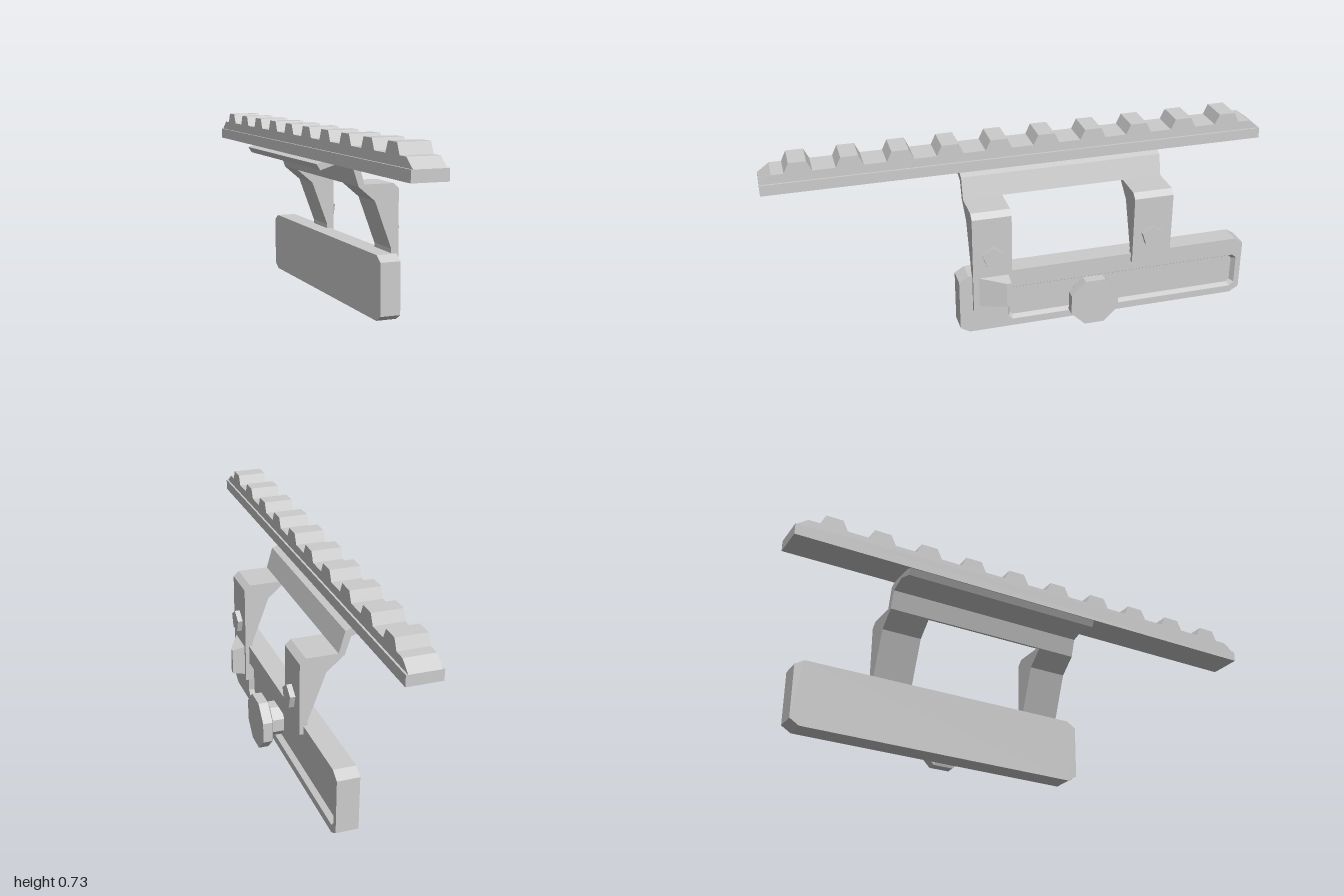
import * as THREE from 'three';

const material = new THREE.MeshStandardMaterial({ color: 0xcccccc, flatShading: true });

const outline = (points) => points.map(([x, y]) => new THREE.Vector2(x, y));

export function createModel() {
  const root = new THREE.Group();
  root.name = 'railMount';

  const add = (name, geometry) => {
    const mesh = new THREE.Mesh(geometry, material);
    mesh.name = name;
    root.add(mesh);
    return mesh;
  };

  // Front-facing (x, y) profile swept from z0 to z1
  const sweepZ = (points, z0, z1) =>
    new THREE.ExtrudeGeometry(new THREE.Shape(outline(points)), { depth: z1 - z0, bevelEnabled: false })
      .translate(0, 0, z0);

  // Side (z, y) profile swept from x0 to x1, with an optional hole
  const sweepX = (points, x0, x1, hole) => {
    const flip = (list) => outline(list.map(([z, y]) => [-z, y]));
    const shape = new THREE.Shape(flip(points));
    if (hole) shape.holes.push(new THREE.Path(flip(hole)));
    return new THREE.ExtrudeGeometry(shape, { depth: x1 - x0, bevelEnabled: false })
      .rotateY(Math.PI / 2).translate(x0, 0, 0);
  };

  // Rectangle with cut corners in the (z, y) plane
  const cutRect = (z0, z1, y0, y1, cz, cy) => [
    [z0 + cz, y0], [z1 - cz, y0], [z1, y0 + cy], [z1, y1 - cy],
    [z1 - cz, y1], [z0 + cz, y1], [z0, y1 - cy], [z0, y0 + cy],
  ];

  // Polygonal prism or frustum along x
  const lathed = (x0, x1, r0, r1, sides, turn, y, z) =>
    new THREE.CylinderGeometry(r1, r0, x1 - x0, sides).rotateY(turn)
      .rotateZ(-Math.PI / 2).translate((x0 + x1) / 2, y, z);

  // Rail: wide foot and toothed upper bar
  add('railFoot', sweepX([[-1, 0.613], [1, 0.613], [1, 0.655], [-1, 0.655]], -0.185, -0.052));
  const teeth = [[1, 0.655], [0.953, 0.69]];
  for (let i = 0; i < 10; i++) {
    const z = 0.855 - 0.19 * i;
    teeth.push([z + 0.052, 0.69], [z + 0.033, 0.73], [z - 0.033, 0.73], [z - 0.052, 0.69]);
  }
  teeth.push([-0.953, 0.69], [-1, 0.655]);
  add('railTeeth', sweepX(teeth, -0.178, -0.06));

  // Saddle under the rail
  add('saddle', sweepZ([
    [-0.197, 0.603], [-0.183, 0.58], [-0.118, 0.6], [-0.052, 0.58], [-0.03, 0.512],
    [-0.007, 0.52], [-0.03, 0.603], [-0.06, 0.613], [-0.165, 0.613],
  ], -0.557, 0.253));

  // Legs, the front one reaching lower
  const legs = [
    { name: 'front', z0: 0.098, z1: 0.253, foot: 0.1, bolt: 0.175 },
    { name: 'back', z0: -0.557, z1: -0.397, foot: 0.22, bolt: -0.472 },
  ];
  for (const { name, z0, z1, foot, bolt } of legs) {
    add(name + 'Leg', sweepZ([
      [-0.03, 0.512], [0.037, 0.455], [0.105, 0.27], [0.105, foot],
      [0.135, foot], [0.135, 0.5], [0.113, 0.52], [-0.007, 0.52],
    ], z0, z1));
    add(name + 'Bolt', lathed(0.13, 0.155, 0.044, 0.044, 5, -Math.PI / 2, 0.338, bolt));
  }

  // Side plate with a slot sunk into its outer face
  const plate = cutRect(-0.885, 0.305, 0, 0.253, 0.037, 0.023);
  const slotRim = cutRect(-0.862, 0.11, 0.03, 0.178, 0.016, 0.016);
  const slotFloor = cutRect(-0.85, 0.1, 0.04, 0.165, 0.012, 0.012);
  add('sidePlate', sweepX(plate, 0.037, 0.1));
  add('sidePlateFace', sweepX(plate, 0.1, 0.12, slotRim));
  const wall = [];
  slotRim.forEach(([z, y], i) => {
    const j = (i + 1) % slotRim.length;
    const a = [0.12, y, z], b = [0.12, slotRim[j][1], slotRim[j][0]];
    const c = [0.1, slotFloor[j][1], slotFloor[j][0]], d = [0.1, slotFloor[i][1], slotFloor[i][0]];
    wall.push(...a, ...c, ...b, ...a, ...d, ...c);
  });
  const wallGeometry = new THREE.BufferGeometry();
  wallGeometry.setAttribute('position', new THREE.Float32BufferAttribute(wall, 3));
  wallGeometry.computeVertexNormals();
  const slotWall = add('slotWall', wallGeometry);
  slotWall.material = material.clone();
  slotWall.material.side = THREE.DoubleSide;

  // Clamp knob: shaft, flare and eight-sided head
  const knob = [
    ['knobShaft', 0.1, 0.145, 0.066, 0.066],
    ['knobFlare', 0.145, 0.158, 0.066, 0.105],
    ['knobHead', 0.158, 0.195, 0.105, 0.105],
  ];
  for (const [name, x0, x1, r0, r1] of knob) {
    add(name, lathed(x0, x1, r0, r1, 8, Math.PI / 8, 0.101, -0.225));
  }

  // Wedge-shaped thumb catch on the front leg
  const catchGeometry = new THREE.BoxGeometry(1, 1, 1);
  const p = catchGeometry.attributes.position;
  for (let i = 0; i < p.count; i++) {
    const outer = p.getX(i) > 0, up = p.getY(i) > 0, front = p.getZ(i) > 0;
    p.setXYZ(i,
      outer ? 0.186 : 0.133,
      outer ? (up ? 0.236 : 0.133) : (up ? 0.247 : 0.121),
      front ? (outer ? 0.132 : 0.233) : 0.113);
  }
  catchGeometry.computeVertexNormals();
  add('thumbCatch', catchGeometry);

  return root;
}
